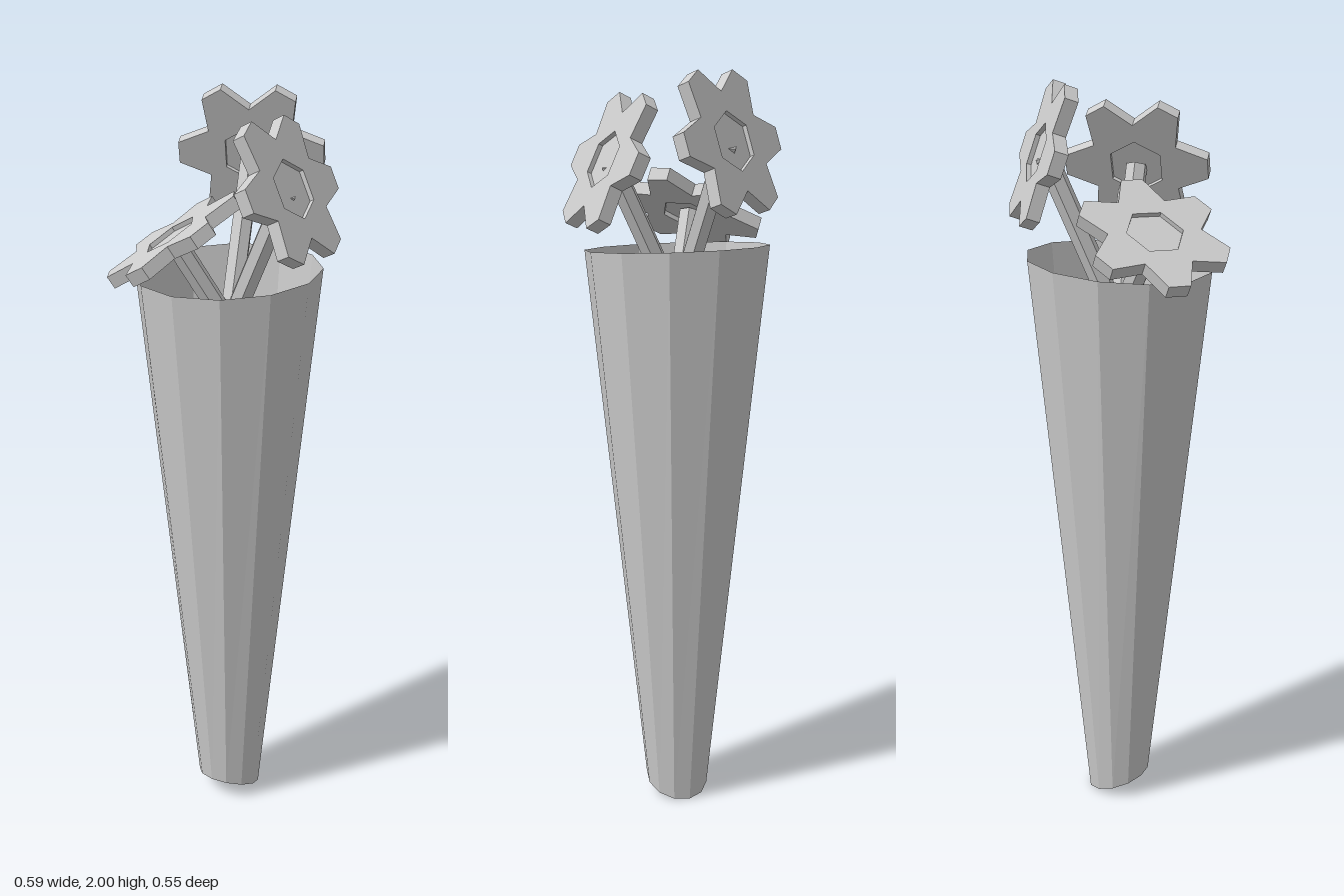
import * as THREE from 'three';

const material = new THREE.MeshStandardMaterial({ color: 0xcccccc, flatShading: true });
const openMaterial = new THREE.MeshStandardMaterial({ color: 0xcccccc, flatShading: true, side: THREE.DoubleSide });

const THICKNESS = 0.035;
const RECESS = 0.012;

function mesh(name, geometry, mat = material) {
  const m = new THREE.Mesh(geometry, mat);
  m.name = name;
  return m;
}

// Thin tapered vase, open at both ends, with slanted rims
function makeVase() {
  const g = new THREE.CylinderGeometry(0.242, 0.086, 1, 12, 1, true);
  const p = g.attributes.position;
  for (let i = 0; i < p.count; i++) {
    const x = p.getX(i);
    p.setY(i, p.getY(i) > 0 ? 1.553 + 0.075 * x : 0.031 - 0.35 * x);
  }
  g.computeVertexNormals();
  return mesh('vase', g, openMaterial);
}

// Six blunt petals around a hexagonal hole; petal 0 points along +x
function petalGeometry() {
  const tip = 0.19, valley = 0.125, half = 0.029;
  const points = [];
  for (let i = 0; i < 6; i++) {
    const a = (i * Math.PI) / 3;
    const c = Math.cos(a), s = Math.sin(a);
    for (const w of [-half, half]) points.push(new THREE.Vector2(tip * c - w * s, tip * s + w * c));
    const b = a + Math.PI / 6;
    points.push(new THREE.Vector2(valley * Math.cos(b), valley * Math.sin(b)));
  }
  const shape = new THREE.Shape(points);
  const hole = [];
  for (let i = 0; i < 6; i++) {
    const a = ((i + 0.5) * Math.PI) / 3;
    hole.push(new THREE.Vector2(0.076 * Math.cos(a), 0.076 * Math.sin(a)));
  }
  shape.holes.push(new THREE.Path(hole.reverse()));
  return new THREE.ExtrudeGeometry(shape, { depth: THICKNESS, bevelEnabled: false }).translate(0, 0, -THICKNESS);
}

// Flower head: face centre, outward normal, direction of one petal
function makeHead(face, normal, petal) {
  const head = new THREE.Group();
  head.name = 'flowerHead';
  head.add(mesh('petals', petalGeometry()));
  // Sunken centre, recessed on both sides
  const centre = new THREE.CylinderGeometry(0.076, 0.076, THICKNESS - 2 * RECESS, 6);
  centre.rotateX(Math.PI / 2).translate(0, 0, -THICKNESS / 2);
  head.add(mesh('flowerCentre', centre));
  const x = petal.clone().addScaledVector(normal, -petal.dot(normal)).normalize();
  const y = new THREE.Vector3().crossVectors(normal, x);
  head.quaternion.setFromRotationMatrix(new THREE.Matrix4().makeBasis(x, y, normal));
  head.position.copy(face);
  return head;
}

// Straight six-sided stem between two points
function makeStem(from, to) {
  const dir = to.clone().sub(from);
  const stem = mesh('stem', new THREE.CylinderGeometry(0.029, 0.029, dir.length(), 6));
  stem.position.copy(from).addScaledVector(dir, 0.5);
  stem.quaternion.setFromUnitVectors(new THREE.Vector3(0, 1, 0), dir.normalize());
  return stem;
}

export function createModel() {
  const model = new THREE.Group();
  model.name = 'vaseWithFlowers';
  model.add(makeVase());

  const flowers = [
    { name: 'frontFlower', face: [-0.01, 1.782, 0.2], normal: [0, 0.43, 0.9], petal: [1, 0, 0] },
    { name: 'backRightFlower', face: [-0.113, 1.652, -0.1], normal: [-0.32, 0.84, -0.44], petal: [-1, -0.31, 0.14] },
    { name: 'leftFlower', face: [0.197, 1.83, -0.062], normal: [0.84, 0.33, -0.41], petal: [0.49, 0, 1] },
  ];
  for (const f of flowers) {
    const face = new THREE.Vector3(...f.face);
    const normal = new THREE.Vector3(...f.normal).normalize();
    const flower = new THREE.Group();
    flower.name = f.name;
    flower.add(makeHead(face, normal, new THREE.Vector3(...f.petal)));
    const base = new THREE.Vector3(face.x * 0.05, 1.42, face.z * 0.05);
    flower.add(makeStem(base, face.clone().addScaledVector(normal, -0.026)));
    model.add(flower);
  }
  return model;
}
